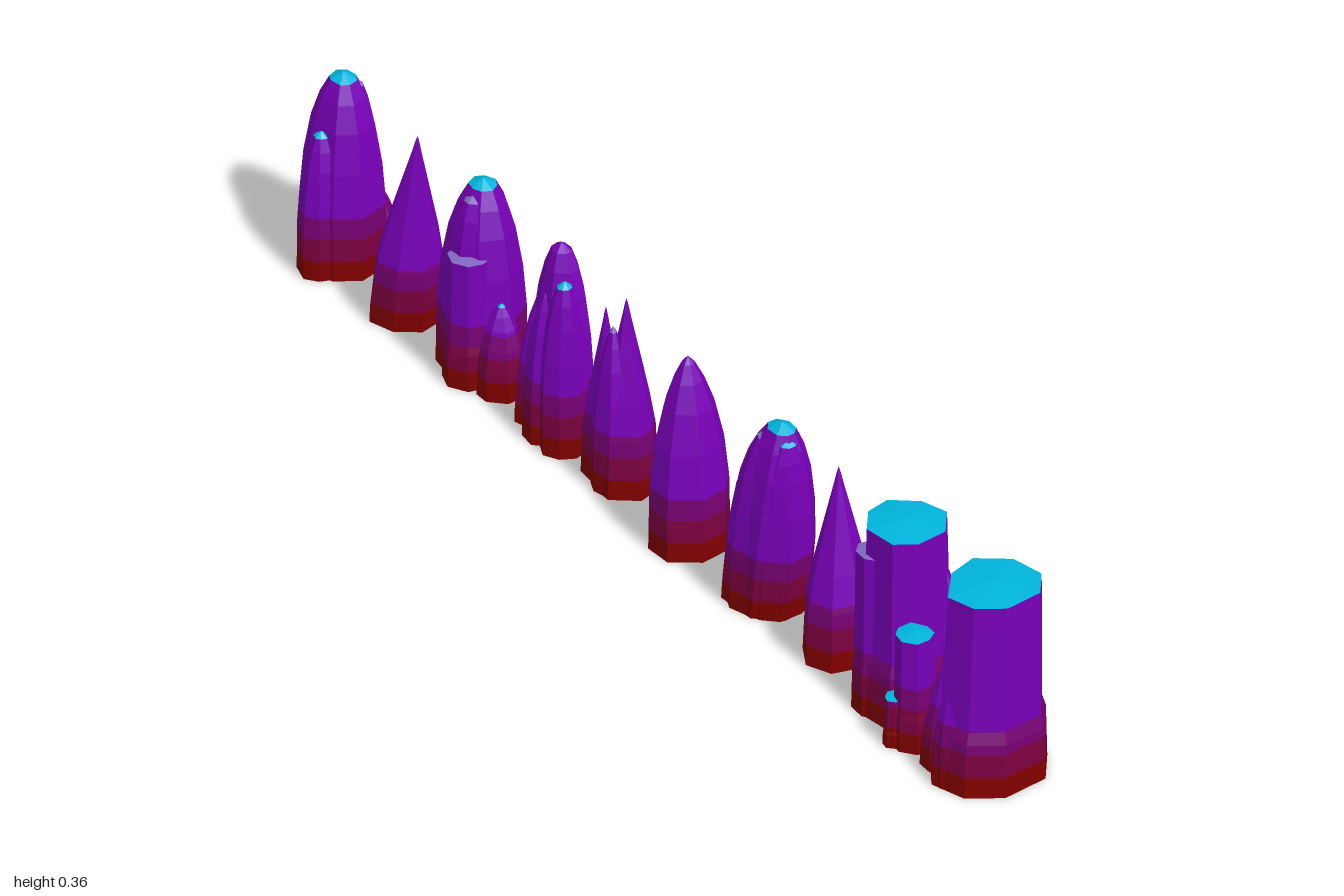
import * as THREE from 'three';

const paint = (name, color) => new THREE.MeshStandardMaterial({
  name, color, flatShading: true, side: THREE.DoubleSide,
});

// [height fraction, radius fraction]
const PROFILES = {
  dome: [[0, 1], [0.33, 0.99], [0.55, 0.9], [0.75, 0.73], [0.88, 0.53], [0.965, 0.32]],
  bullet: [[0, 1], [0.33, 0.97], [0.55, 0.85], [0.75, 0.62], [0.88, 0.38], [0.965, 0.16]],
  spire: [[0, 1], [0.3, 0.92], [0.48, 0.72], [0.72, 0.39], [0.9, 0.14], [0.97, 0.05]],
  blunt: [[0, 1], [0.27, 0.95], [0.33, 0.88], [0.978, 0.81]],
};
const BANDS = [0.037, 0.08, 0.12]; // heights where the colour changes
const PURPLE = 3, CYAN = 4, PALE = 5;

function radiusAt(profile, t) {
  for (let i = 1; i < profile.length; i++) {
    const [t0, r0] = profile[i - 1], [t1, r1] = profile[i];
    if (t <= t1) return r0 + (r1 - r0) * (t - t0) / (t1 - t0);
  }
  return profile[profile.length - 1][1];
}

// Faceted crystal open at the foot, with one material group per colour band
function crystal({ type, x, z = 0, rx = 0.04, rz = rx, h = 0.362, dx = 0, dz = 0, cap = PURPLE }, seed) {
  const profile = PROFILES[type], sides = 8;
  const rand = i => { const s = Math.sin(seed * 12.99 + i * 78.23) * 43758.55; return s - Math.floor(s); };
  const facets = Array.from({ length: sides }, (_, i) => ({
    a: (i + 0.3 * rand(i) + rand(99)) / sides * Math.PI * 2,
    r: 0.92 + 0.14 * rand(i + 20),
  }));
  const heights = [...profile.map(p => p[0] * h), ...BANDS.filter(b => b < h * 0.9)].sort((a, b) => a - b);
  const rings = heights.map(y => {
    const t = y / h, k = radiusAt(profile, t);
    return facets.map(({ a, r }) => [
      x + dx * t + Math.cos(a) * r * k * rx, y, z + dz * t + Math.sin(a) * r * k * rz]);
  });
  const pos = [], geo = new THREE.BufferGeometry();
  for (let j = 0; j + 1 < rings.length; j++) {
    const start = pos.length / 3, lo = rings[j], hi = rings[j + 1];
    for (let i = 0; i < sides; i++) {
      const n = (i + 1) % sides;
      pos.push(...lo[i], ...hi[i], ...lo[n], ...hi[i], ...hi[n], ...lo[n]);
    }
    const band = BANDS.filter(b => heights[j] >= b - 1e-6).length;
    geo.addGroup(start, sides * 6, band);
  }
  // Top facets
  const top = rings[rings.length - 1], start = pos.length / 3;
  for (let i = 0; i < sides; i++) pos.push(x + dx, h, z + dz, ...top[(i + 1) % sides], ...top[i]);
  geo.addGroup(start, sides * 3, cap);
  geo.setAttribute('position', new THREE.Float32BufferAttribute(pos, 3));
  geo.computeVertexNormals();
  return geo;
}

// Clusters from the right end (-x) to the left end (+x); full-height main crystal first
const CLUSTERS = [
  [{ type: 'dome', x: -0.92, z: -0.005, rx: 0.079, rz: 0.072, cap: CYAN },
    { type: 'dome', x: -0.91, z: 0.046, h: 0.27, cap: CYAN },
    { type: 'blunt', x: -0.95, z: -0.045, h: 0.2, cap: CYAN },
    { type: 'bullet', x: -0.89, z: -0.05, h: 0.14 },
    { type: 'dome', x: -0.915, z: -0.022, rx: 0.05, h: 0.345, cap: PALE }],
  [{ type: 'spire', x: -0.727, z: 0.006, rx: 0.062, dx: 0.032 }],
  [{ type: 'dome', x: -0.535, z: -0.012, rx: 0.08, rz: 0.073, cap: CYAN },
    { type: 'blunt', x: -0.515, z: 0.028, rx: 0.046, h: 0.243, cap: PALE },
    { type: 'bullet', x: -0.452, z: 0.01, h: 0.17, cap: CYAN },
    { type: 'dome', x: -0.53, z: 0.01, rx: 0.052, h: 0.342, cap: PALE }],
  [{ type: 'dome', x: -0.308, z: -0.008, rx: 0.062, rz: 0.05 },
    { type: 'dome', x: -0.256, z: 0.022, h: 0.325, cap: CYAN },
    { type: 'bullet', x: -0.36, z: 0.005, h: 0.27, dx: 0.025 },
    { type: 'bullet', x: -0.305, z: 0.024, h: 0.28 }],
  [{ type: 'spire', x: -0.113, rx: 0.055 },
    { type: 'spire', x: -0.164, z: 0.005, h: 0.32 },
    { type: 'bullet', x: -0.122, z: 0.02, h: 0.31, cap: PALE }],
  [{ type: 'bullet', x: 0.082, z: 0.015, rx: 0.07 },
    { type: 'bullet', x: 0.024, h: 0.205 },
    { type: 'dome', x: 0.04, z: -0.048, h: 0.215, cap: CYAN }],
  [{ type: 'dome', x: 0.28, rx: 0.09, rz: 0.068, dx: 0.048, cap: CYAN },
    { type: 'dome', x: 0.288, z: 0.012, rx: 0.06, h: 0.34, dx: 0.02, cap: PALE },
    { type: 'dome', x: 0.315, z: 0.005, rx: 0.052, h: 0.345, dx: 0.035, cap: CYAN }],
  [{ type: 'spire', x: 0.487, rx: 0.063 },
    { type: 'spire', x: 0.44, z: -0.015, h: 0.265 }],
  [{ type: 'blunt', x: 0.675, z: -0.003, rx: 0.086, cap: CYAN },
    { type: 'blunt', x: 0.65, z: 0.042, h: 0.31, cap: PALE },
    { type: 'blunt', x: 0.773, z: 0.05, h: 0.215, cap: CYAN },
    { type: 'blunt', x: 0.755, z: 0.075, rx: 0.024, h: 0.09, cap: CYAN },
    { type: 'bullet', x: 0.712, z: -0.05, h: 0.28 }],
  [{ type: 'blunt', x: 0.903, z: -0.002, rx: 0.096, rz: 0.1, dz: -0.012, cap: CYAN },
    { type: 'spire', x: 0.9, z: 0.06, h: 0.26 },
    { type: 'spire', x: 0.85, z: 0.045, h: 0.2 }],
];

export function createModel() {
  const materials = [
    paint('base red', 0x800000),
    paint('low magenta', 0x7c0040),
    paint('middle plum', 0x780074),
    paint('crystal purple', 0x7800b8),
    paint('cut cyan', 0x00b4dc),
    paint('pale lavender', 0x8068c0),
  ];
  const model = new THREE.Group();
  model.name = 'crystalRow';
  CLUSTERS.forEach((parts, c) => {
    const cluster = new THREE.Group();
    cluster.name = `crystalCluster${c + 1}`;
    parts.forEach((part, i) => {
      const mesh = new THREE.Mesh(crystal(part, c * 5 + i + 1), materials);
      mesh.name = i ? `sideShard${i}` : 'mainCrystal';
      cluster.add(mesh);
    });
    model.add(cluster);
  });
  return model;
}
